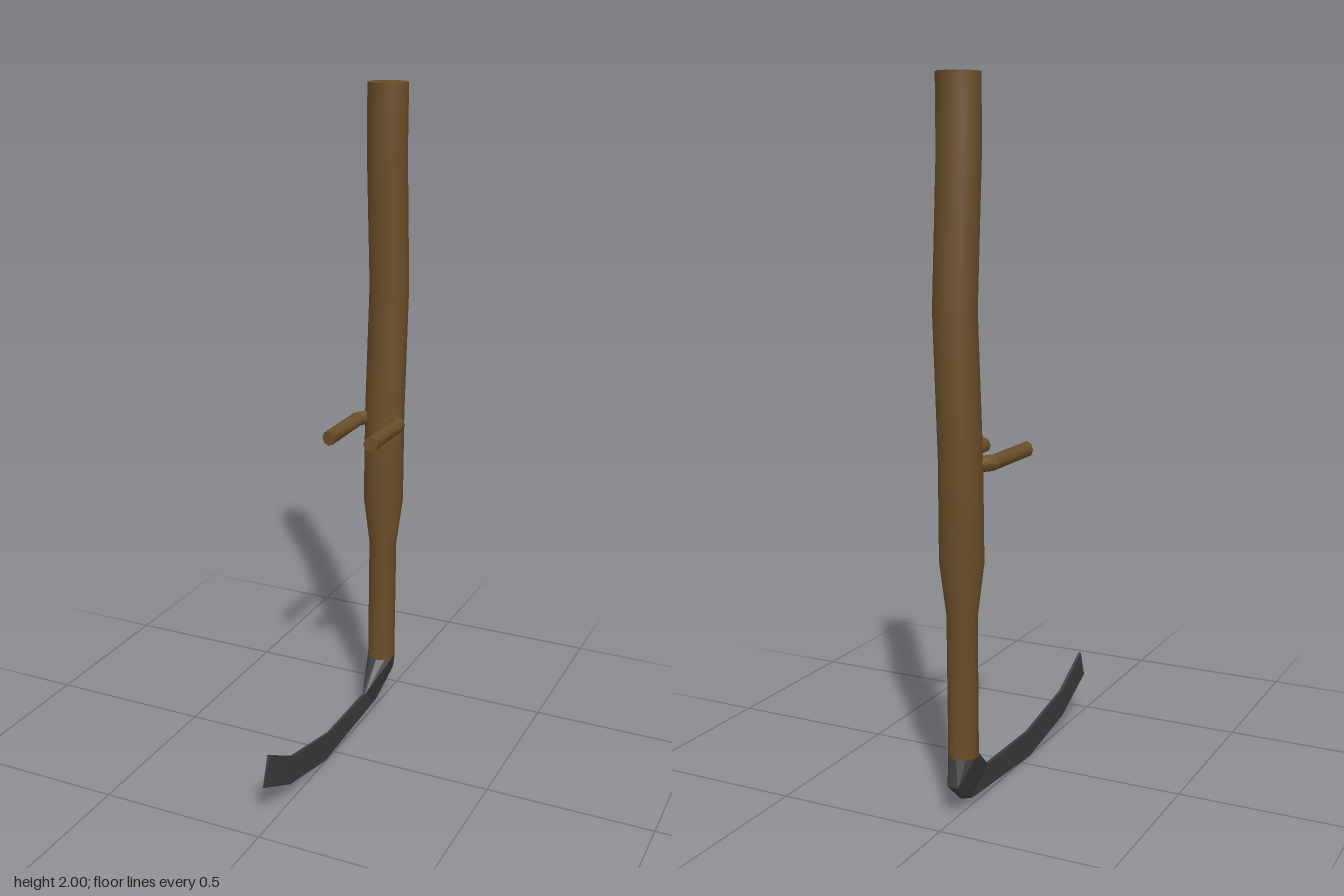
import * as THREE from 'three';
import { toCreasedNormals } from 'three/addons/utils/BufferGeometryUtils.js';
import { ConvexGeometry } from 'three/addons/geometries/ConvexGeometry.js';

const wood = new THREE.MeshStandardMaterial({ color: 0x6b4e28 });
wood.name = 'brown wood';
const metal = new THREE.MeshStandardMaterial({ color: 0x3c3c3e });
metal.name = 'dark steel';

// Joins equal-sized rings of [x, y, z] points into a capped solid
function loft(rings, crease) {
  const n = rings[0].length, last = rings.length - 1, index = [];
  for (let i = 0; i < last; i++) {
    for (let j = 0; j < n; j++) {
      const a = i * n + j, b = i * n + (j + 1) % n;
      index.push(a, b, b + n, a, b + n, a + n);
    }
  }
  for (let j = 1; j < n - 1; j++) {
    index.push(0, j + 1, j, last * n, last * n + j, last * n + j + 1);
  }
  const geo = new THREE.BufferGeometry();
  geo.setAttribute('position', new THREE.Float32BufferAttribute(rings.flat(2), 3));
  geo.setIndex(index);
  return toCreasedNormals(geo, crease);
}

// Evenly spaced points of a circle, placed by a function of (cos, sin)
const ring = (sides, place) => Array.from({ length: sides }, (_, i) => {
  const a = (i / sides) * Math.PI * 2;
  return place(Math.cos(a), Math.sin(a));
});

const levelRing = (y, z, r) => ring(10, (c, s) => [r * s, y, z + r * c]);

export function createModel() {
  const model = new THREE.Group();
  const add = (name, geo, mat) => {
    const mesh = new THREE.Mesh(geo, mat);
    mesh.name = name;
    model.add(mesh);
  };

  // Gently bent shaft with a narrow lower end: [y, z, radius]
  const shaft = [
    [0.17, -0.363, 0.043], [0.57, -0.365, 0.043], [0.72, -0.365, 0.062],
    [1.0, -0.367, 0.061], [1.4, -0.391, 0.06], [1.8, -0.363, 0.06], [2.0, -0.363, 0.06],
  ];
  add('shaft', loft(shaft.map((p) => levelRing(...p)), 0.75), wood);

  // Pair of bent hand grips: [x, z] along each grip
  for (const side of [1, -1]) {
    const path = [[0.03, -0.365], [0.068, -0.313], [0.068, -0.103]];
    const rings = path.map(([x, z]) =>
      ring(8, (c, s) => [side * x + 0.0215 * c, 0.99 + 0.0225 * s, z + side * c * 0.004 * -1]));
    add(side > 0 ? 'leftGrip' : 'rightGrip', loft(rings, 0.85), wood);
  }

  // Faceted socket narrowing from the shaft to the blade
  const socket = [
    ...levelRing(0.172, -0.363, 0.044),
    [0.016, 0.1, -0.426], [-0.016, 0.1, -0.426],
    [0, 0.05, -0.382], [0, 0.025, -0.318],
    [0.004, 0.092, -0.228], [-0.006, 0.092, -0.228],
  ].map((p) => new THREE.Vector3(...p));
  add('socket', new ConvexGeometry(socket), metal);

  // Curved blade, wedge section: [x, half width, top z, top y, edge z, edge y]
  const blade = [
    [-0.001, 0.005, -0.228, 0.092, -0.318, 0.025],
    [-0.002, 0.004, 0.037, 0.092, 0.058, 0.005],
    [-0.006, 0.005, 0.275, 0.14, 0.29, 0.053],
    [-0.008, 0.004, 0.418, 0.22, 0.455, 0.135],
  ].map(([x, w, tz, ty, ez, ey]) => [[x + w, ty, tz], [x - w, ty, tz], [x, ey, ez]]);
  add('blade', loft(blade, 0.3), metal);

  return model;
}
